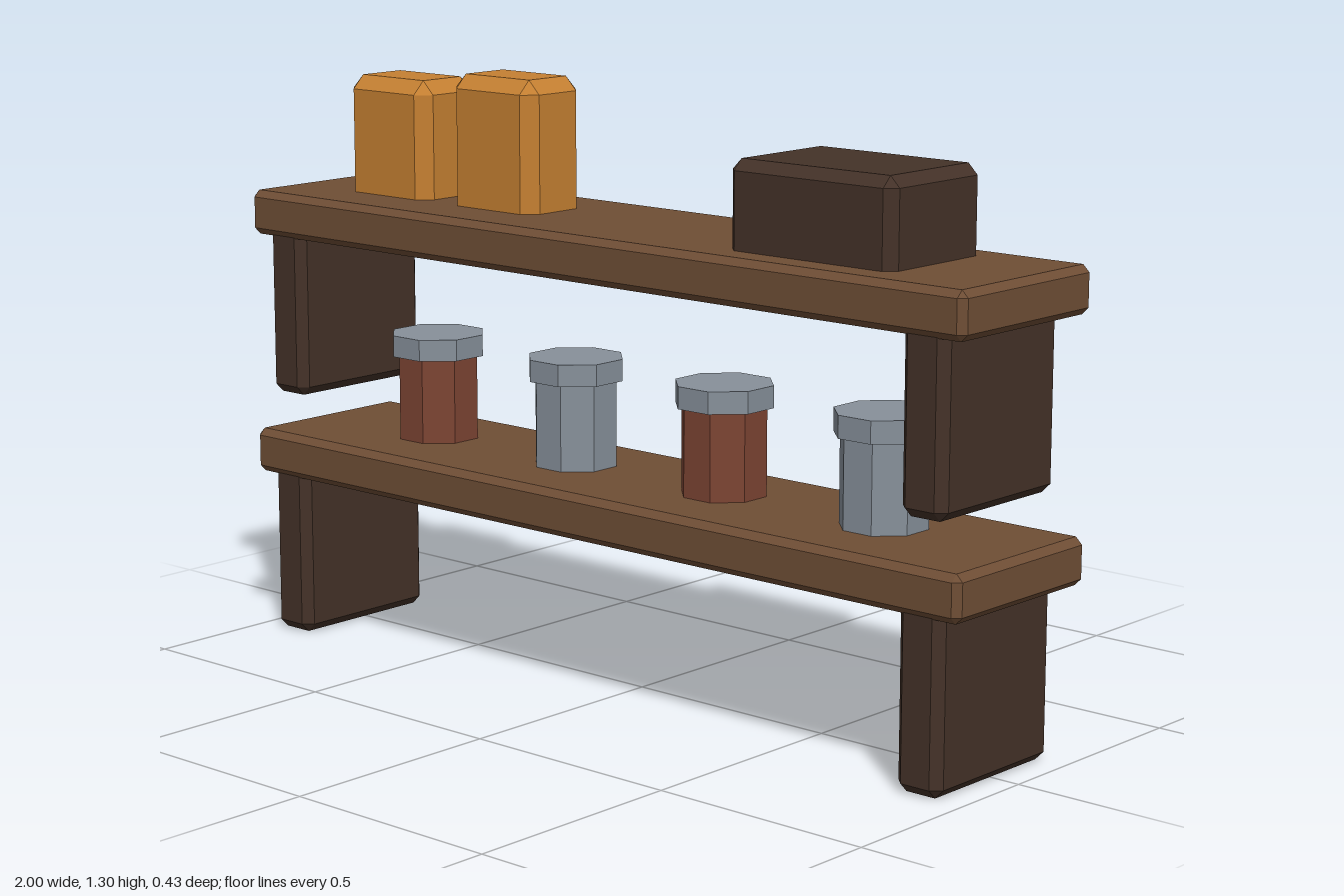
import * as THREE from 'three';
import { ConvexGeometry } from 'three/addons/geometries/ConvexGeometry.js';

const paint = (color) => new THREE.MeshStandardMaterial({ color, flatShading: true });
const wood = paint(0x6f4e35);
const darkWood = paint(0x443228);
const amber = paint(0xc58032);
const clay = paint(0x7c4433);
const metal = paint(0x87909a);

// Box between two corners with every edge chamfered by c
function chamferBox(name, [x0, y0, z0], [x1, y1, z1], c, material) {
  const half = new THREE.Vector3(x1 - x0, y1 - y0, z1 - z0).multiplyScalar(0.5);
  const points = [];
  for (const sx of [-1, 1]) for (const sy of [-1, 1]) for (const sz of [-1, 1]) {
    const s = new THREE.Vector3(sx, sy, sz);
    points.push(
      new THREE.Vector3(half.x, half.y - c, half.z - c).multiply(s),
      new THREE.Vector3(half.x - c, half.y, half.z - c).multiply(s),
      new THREE.Vector3(half.x - c, half.y - c, half.z).multiply(s),
    );
  }
  const mesh = new THREE.Mesh(new ConvexGeometry(points), material);
  mesh.position.set((x0 + x1) / 2, (y0 + y1) / 2, (z0 + z1) / 2);
  mesh.name = name;
  return mesh;
}

// Eight-sided prism with a flat side facing the front
function octagon(name, apothem, y0, y1, material) {
  const r = apothem / Math.cos(Math.PI / 8);
  const mesh = new THREE.Mesh(
    new THREE.CylinderGeometry(r, r, y1 - y0, 8, 1, false, Math.PI / 8), material);
  mesh.position.y = (y0 + y1) / 2;
  mesh.name = name;
  return mesh;
}

export function createModel() {
  const model = new THREE.Group();
  model.name = 'shelfUnit';

  // Two tiers: a plank on a pair of slab supports
  for (const [tier, base, top] of [['lower', 0, 0.465], ['upper', 0.555, 1.015]]) {
    model.add(chamferBox(tier + 'Shelf', [-1, top - 0.1, -0.213], [1, top, 0.213], 0.015, wood));
    for (const [side, x] of [['Right', -0.905], ['Left', 0.895]]) {
      model.add(chamferBox(tier + side + 'Support',
        [x - 0.055, base, -0.175], [x + 0.055, top - 0.07, 0.2], 0.02, darkWood));
    }
  }

  // Lidded jars on the lower shelf, alternating clay and metal
  [-0.63, -0.205, 0.22, 0.645].forEach((x, i) => {
    const jar = new THREE.Group();
    jar.name = 'jar' + (i + 1);
    jar.position.set(x, 0, -0.0125);
    jar.add(octagon('jarBody', 0.087, 0.455, 0.665, i % 2 ? metal : clay));
    jar.add(octagon('jarLid', 0.1, 0.655, 0.703, metal));
    model.add(jar);
  });

  // Containers on the upper shelf, set slightly into the plank
  model.add(chamferBox('canisterOuter', [-0.83, 0.98, -0.1], [-0.578, 1.277, 0.075], 0.03, amber));
  model.add(chamferBox('canisterInner', [-0.505, 0.98, -0.1], [-0.255, 1.302, 0.075], 0.03, amber));
  model.add(chamferBox('storageBox', [0.348, 0.98, -0.16], [0.77, 1.2, 0.137], 0.023, darkWood));

  return model;
}
